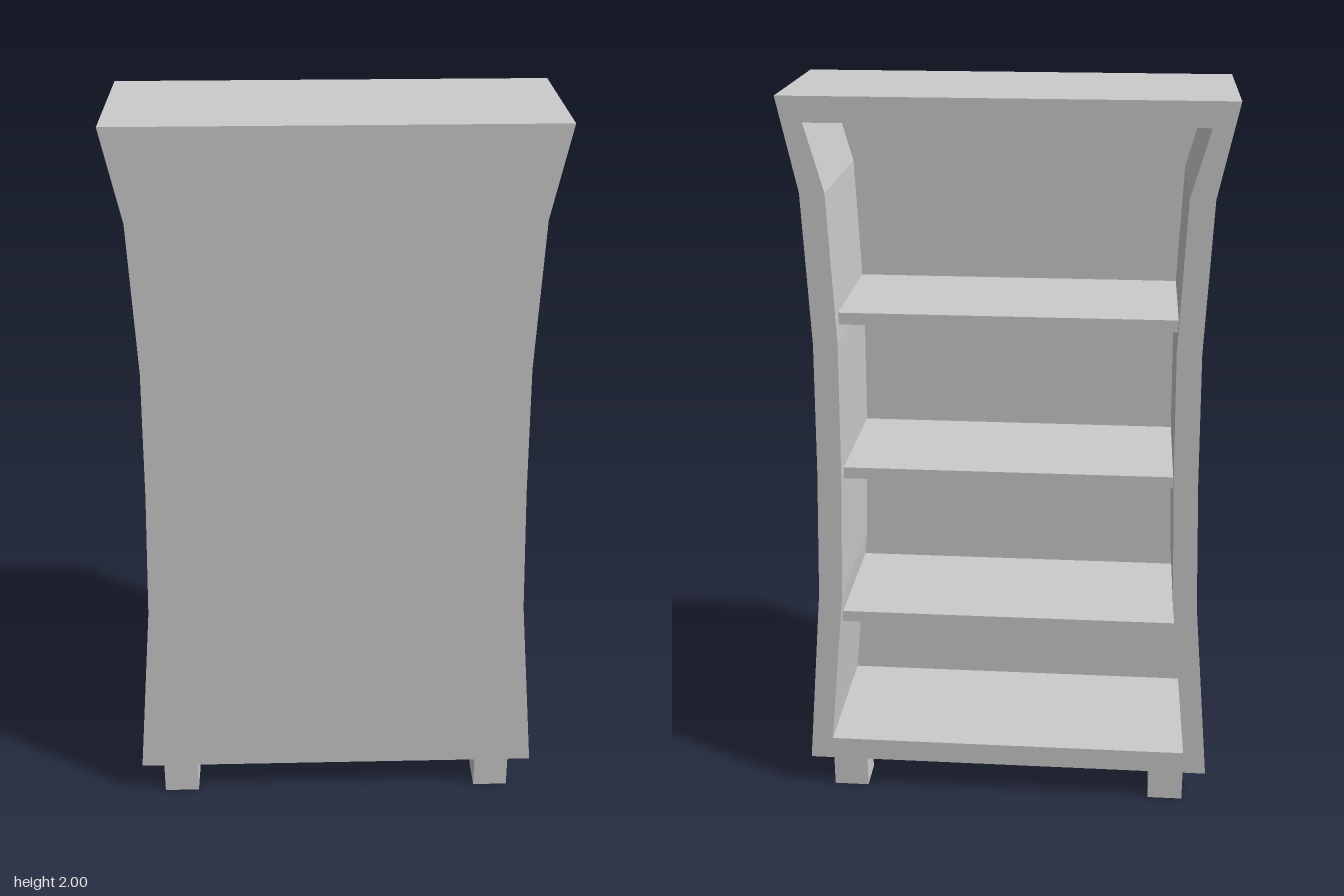
import * as THREE from 'three';

const material = new THREE.MeshStandardMaterial({ color: 0xcccccc, flatShading: true });

// Half-width of the waisted cabinet at each height: [x, y]
const SIDE = [[0.57, 0.1], [0.523, 0.63], [0.51, 1.0], [0.504, 1.36], [0.52, 1.76], [0.57, 2.0]];
const WALL = 0.065, PANEL = 0.035, DEPTH = 0.45;

// Half-width at any height
function halfWidth(y) {
  const i = Math.max(1, SIDE.findIndex((p) => p[1] >= y));
  const [x0, y0] = SIDE[i - 1], [x1, y1] = SIDE[i];
  return x0 + (x1 - x0) * (y - y0) / (y1 - y0);
}

// Mirror a right-hand profile into a closed outline
function outline(profile) {
  const left = profile.map(([x, y]) => [-x, y]).reverse();
  return [...profile, ...left].map(([x, y]) => new THREE.Vector2(x, y));
}

export function createModel() {
  const model = new THREE.Group();
  model.name = 'bookcase';
  const add = (name, geometry, x = 0, y = 0, z = 0) => {
    const mesh = new THREE.Mesh(geometry, material);
    mesh.name = name;
    mesh.position.set(x, y, z);
    model.add(mesh);
  };

  // Curved frame, open through the middle
  const frame = new THREE.Shape(outline(SIDE));
  const inner = SIDE.map(([x, y], i) => {
    const h = i === 0 ? y + WALL : i === SIDE.length - 1 ? y - WALL : y;
    return [halfWidth(h) - WALL, h];
  });
  inner[0][0] = 0.505;
  inner[inner.length - 1][0] = 0.503;
  frame.holes.push(new THREE.Path(outline(inner)));
  add('frame', new THREE.ExtrudeGeometry(frame, { depth: DEPTH - PANEL, bevelEnabled: false }), 0, 0, -DEPTH / 2);

  // Solid panel closing the +z face
  add('panel', new THREE.ExtrudeGeometry(new THREE.Shape(outline(SIDE)), { depth: PANEL, bevelEnabled: false }),
    0, 0, DEPTH / 2 - PANEL);

  // Shelves, set back from the opening and let into the side walls
  const shelfDepth = DEPTH - PANEL - 0.04;
  [0.56, 1.0, 1.437].forEach((top, i) => {
    const width = 2 * (halfWidth(top) - WALL + 0.015);
    add(`shelf${i + 1}`, new THREE.BoxGeometry(width, 0.032, shelfDepth),
      0, top - 0.016, DEPTH / 2 - PANEL - shelfDepth / 2);
  });

  // Four square feet
  for (const x of [-0.458, 0.458]) {
    for (const z of [-0.16, 0.168]) {
      add(`${z > 0 ? 'front' : 'back'}${x > 0 ? 'Left' : 'Right'}Foot`,
        new THREE.BoxGeometry(0.098, 0.1, 0.096), x, 0.05, z);
    }
  }
  return model;
}
